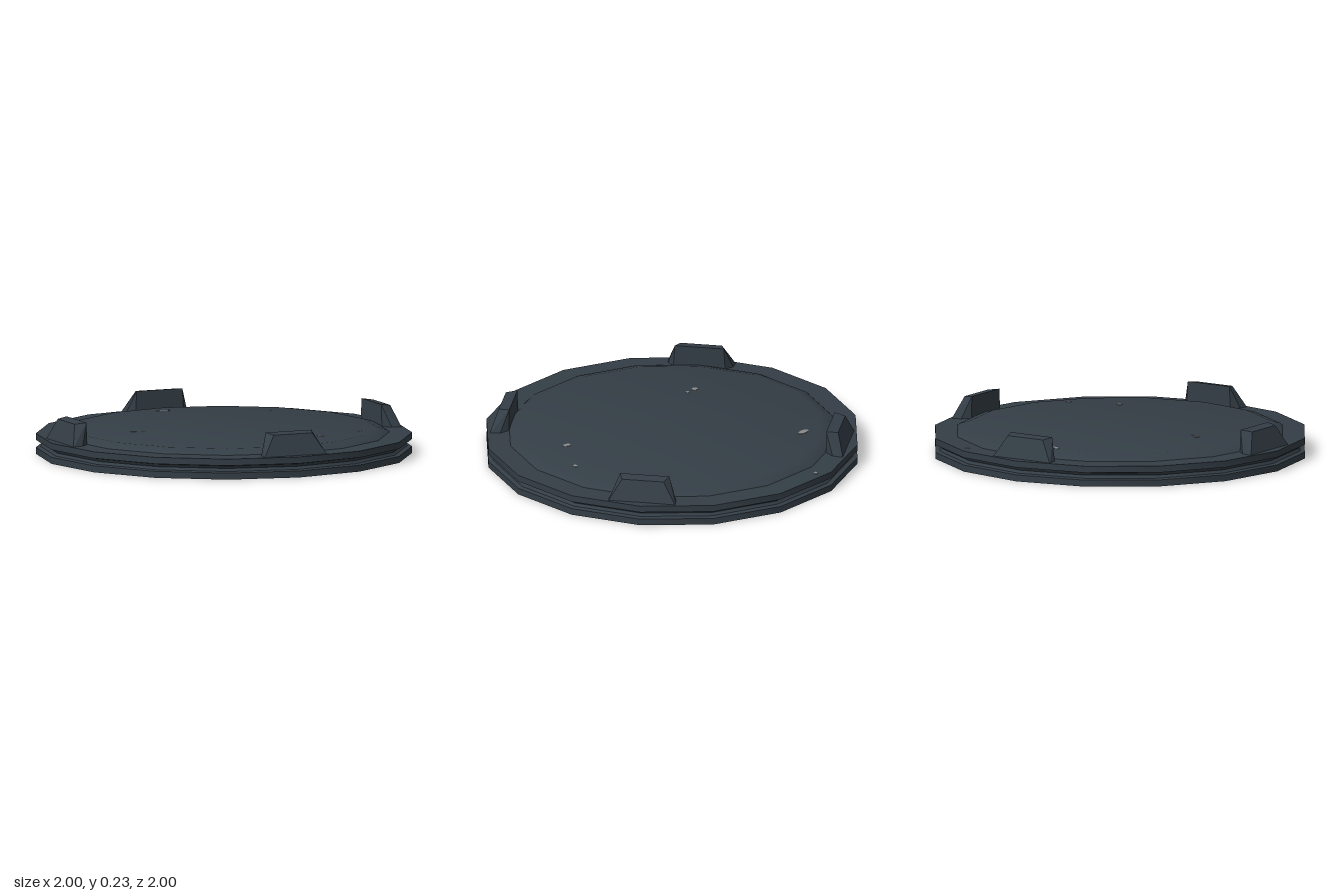
import * as THREE from 'three';
import { toCreasedNormals } from 'three/addons/utils/BufferGeometryUtils.js';
import { ConvexGeometry } from 'three/addons/geometries/ConvexGeometry.js';

export function createModel() {
  const model = new THREE.Group();
  model.name = 'roundLid';
  const slate = new THREE.MeshStandardMaterial({ name: 'dark slate', color: 0x343e46 });
  const worn = new THREE.MeshStandardMaterial({ name: 'worn grey', color: 0x8a8a8a });

  const add = (name, geometry, material) => {
    const mesh = new THREE.Mesh(geometry, material);
    mesh.name = name;
    model.add(mesh);
    return mesh;
  };

  // Sixteen-sided body: base flange, side groove, upper rim and raised bevelled disc
  const profile = [
    [0, 0], [1, 0], [1, 0.035], [0.975, 0.04], [0.965, 0.055], [0.975, 0.07],
    [1, 0.075], [1, 0.11], [0.88, 0.113], [0.87, 0.122], [0.81, 0.14], [0, 0.14],
  ].map(([r, y]) => new THREE.Vector2(r, y));
  add('body', toCreasedNormals(new THREE.LatheGeometry(profile, 16), 0.6), slate);

  // Four raised lugs on the diagonals: [radial distance, height, half width]
  const section = [
    [0.855, 0.1, 0.14], [0.9, 0.1, 0.18], [0.955, 0.1, 0.185],
    [0.855, 0.23, 0.132], [0.915, 0.222, 0.112],
  ];
  const corners = section.flatMap(([r, y, w]) => [
    new THREE.Vector3(w, y, r), new THREE.Vector3(-w, y, r),
  ]);
  const lugGeometry = toCreasedNormals(new ConvexGeometry(corners), 0.5);
  for (let i = 0; i < 4; i++) {
    add('lug', lugGeometry, slate).rotation.y = Math.PI / 4 + (i * Math.PI) / 2;
  }

  // Small worn chips on the upper surfaces: [x, y, z, length, width, turn]
  const chips = [
    [-0.53, 0.14, -0.46, 0.038, 0.018, 0.25], [0.6, 0.14, 0.12, 0.024, 0.016, 0],
    [-0.385, 0.14, 0.335, 0.018, 0.016, 0], [-0.33, 0.14, 0.325, 0.01, 0.009, 0],
    [0.72, 0.14, -0.13, 0.013, 0.015, 0], [-0.305, 0.112, -0.89, 0.01, 0.015, 0],
  ];
  const chipGeometry = new THREE.CylinderGeometry(1, 1, 0.004, 8);
  for (const [x, y, z, length, width, turn] of chips) {
    const chip = add('wornChip', chipGeometry, worn);
    chip.position.set(x, y, z);
    chip.scale.set(length, 1, width);
    chip.rotation.y = turn;
  }
  return model;
}
